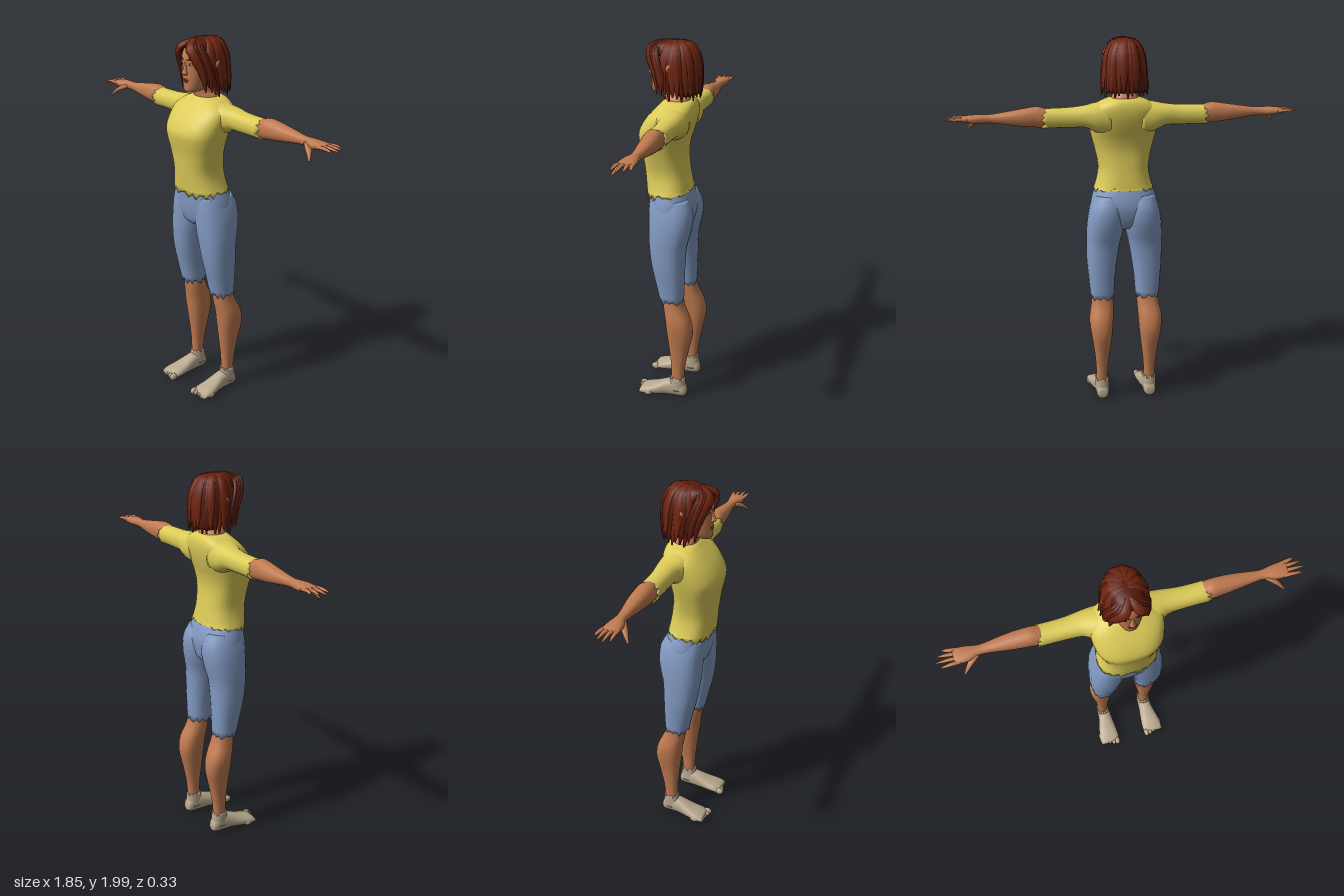
import * as THREE from 'three';

const mat = (name, color) => {
  const m = new THREE.MeshStandardMaterial({ color });
  m.name = name;
  return m;
};

// Closed skin over a list of equal rings; caps both ends and turns faces outward.
function skin(rings) {
  const n = rings[0].length, pos = [], idx = [];
  rings.forEach(r => r.forEach(v => pos.push(v.x, v.y, v.z)));
  for (let k = 0; k < rings.length - 1; k++)
    for (let i = 0; i < n; i++) {
      const a = k * n + i, b = k * n + (i + 1) % n;
      idx.push(a, b, a + n, b, b + n, a + n);
    }
  [0, rings.length - 1].forEach((k, end) => {
    const c = new THREE.Vector3();
    rings[k].forEach(v => c.addScaledVector(v, 1 / n));
    const id = pos.length / 3;
    pos.push(c.x, c.y, c.z);
    for (let i = 0; i < n; i++) {
      const a = k * n + i, b = k * n + (i + 1) % n;
      end ? idx.push(a, b, id) : idx.push(b, a, id);
    }
  });
  const P = i => new THREE.Vector3().fromArray(pos, i * 3);
  let vol = 0;
  for (let i = 0; i < idx.length; i += 3) vol += P(idx[i]).dot(P(idx[i + 1]).cross(P(idx[i + 2])));
  if (vol < 0) idx.reverse();
  const g = new THREE.BufferGeometry();
  g.setAttribute('position', new THREE.Float32BufferAttribute(pos, 3));
  g.setIndex(idx);
  g.computeVertexNormals();
  return g;
}

// Smooth interpolation between four section values.
const cubic = (a, b, c, d, t) =>
  b + 0.5 * t * (c - a + t * (2 * a - 5 * b + 4 * c - d + t * (3 * (b - c) + d - a)));

// Loft along one axis; each key is [t, aMin, aMax, bMin, bMax]. hem() shifts the first ring.
function loft(keys, map, { n = 24, p = 2.3, steps = 3, hem } = {}) {
  const rings = [], last = keys.length - 1;
  const at = k => keys[THREE.MathUtils.clamp(k, 0, last)];
  for (let s = 0; s <= last * steps; s++) {
    const k = Math.min(Math.floor(s / steps), last - 1), f = s / steps - k;
    const [t, a0, a1, b0, b1] = at(k).map((v, j) => cubic(at(k - 1)[j], v, at(k + 1)[j], at(k + 2)[j], f));
    rings.push(Array.from({ length: n }, (_, i) => {
      const th = i / n * Math.PI * 2, c = Math.cos(th), d = Math.sin(th);
      const bend = v => Math.sign(v) * Math.abs(v) ** (2 / p);
      const shift = hem && s === 0 ? hem(i, d) : 0;
      return map(t + shift, (a0 + a1) / 2 + (a1 - a0) / 2 * bend(c), (b0 + b1) / 2 + (b1 - b0) / 2 * bend(d));
    }));
  }
  return skin(rings);
}
const V = (x, y, z) => new THREE.Vector3(x, y, z);
const alongY = s => (t, a, b) => V(s * a, t, b);
const alongX = s => (t, a, b) => V(s * t, a, b);
const alongZ = s => (t, a, b) => V(s * a, b, t);
const torn = size => i => size * Math.sin(i * 2.6 + Math.sin(i * 5.1));

// Tapered oval sweep through points; out(p) gives the direction of its thin side.
function sweep(points, widths, flat, out, n = 8, m = 10) {
  const curve = new THREE.CatmullRomCurve3(points), rings = [];
  for (let k = 0; k <= m; k++) {
    const u = k / m, q = curve.getPoint(u), tan = curve.getTangent(u);
    const side = tan.clone().cross(out(q)).normalize(), up = side.clone().cross(tan);
    const f = u * (widths.length - 1), j = Math.min(Math.floor(f), widths.length - 2);
    const w = THREE.MathUtils.lerp(widths[j], widths[j + 1], f - j);
    rings.push(Array.from({ length: n }, (_, i) => {
      const a = i / n * Math.PI * 2;
      return q.clone().addScaledVector(side, w * Math.cos(a)).addScaledVector(up, w * flat * Math.sin(a));
    }));
  }
  return skin(rings);
}

export function createModel() {
  const root = new THREE.Group();
  root.name = 'woman';
  const skinM = mat('skin', 0xc07a50), shirtM = mat('yellow shirt', 0xdccb58), pantsM = mat('blue cloth', 0x829ac2),
    footM = mat('pale footwear', 0xb8a88e), hairM = mat('red hair', 0x6e2410), darkHairM = mat('dark red hair', 0x541809),
    lipM = mat('lips', 0x914a38), whiteM = mat('eye white', 0xd8cdbf), irisM = mat('iris', 0x2a1810);
  const add = (name, geo, m) => {
    const mesh = new THREE.Mesh(geo, m);
    mesh.name = name;
    root.add(mesh);
    return mesh;
  };
  const ball = (name, m, [x, y, z], [sx, sy, sz]) => {
    const b = add(name, new THREE.SphereGeometry(1, 14, 10), m);
    b.position.set(x, y, z);
    b.scale.set(sx, sy, sz);
    return b;
  };

  // Shirt body with a torn hem that dips in front
  add('shirtBody', loft([
    [1.19, -.162, .162, -.112, .12], [1.24, -.145, .145, -.104, .127], [1.31, -.134, .134, -.093, .135],
    [1.4, -.15, .15, -.084, .146], [1.47, -.168, .168, -.094, .161], [1.52, -.178, .178, -.11, .163],
    [1.58, -.185, .185, -.126, .132], [1.63, -.18, .18, -.131, .09], [1.665, -.135, .135, -.125, .055],
    [1.685, -.085, .085, -.11, .035], [1.69, -.05, .05, -.08, .02]
  ], alongY(1), { n: 40, p: 2.5, hem: (i, d) => -.016 * d + torn(.014)(i) }), shirtM);

  // Hips
  add('hips', loft([
    [.985, -.06, .06, -.085, .05], [1.01, -.13, .13, -.112, .08], [1.06, -.182, .182, -.126, .096],
    [1.11, -.181, .181, -.131, .103], [1.16, -.171, .171, -.122, .107], [1.215, -.151, .151, -.102, .112]
  ], alongY(1), { n: 32 }), pantsM);

  // Neck and head
  add('neck', loft([
    [1.65, -.085, .085, -.11, .025], [1.695, -.066, .066, -.095, .03], [1.72, -.05, .05, -.08, .035], [1.79, -.048, .048, -.075, .045]
  ], alongY(1)), skinM);
  add('head', loft([
    [1.718, -.022, .022, .045, .095], [1.73, -.04, .04, 0, .105], [1.76, -.057, .057, -.05, .106],
    [1.8, -.068, .068, -.08, .107], [1.85, -.075, .075, -.1, .107], [1.9, -.076, .076, -.11, .109],
    [1.95, -.058, .058, -.1, .09], [1.975, -.03, .03, -.06, .05]
  ], alongY(1), { p: 2.4 }), skinM);
  add('nose', loft([
    [1.808, -.012, .012, .09, .112], [1.818, -.017, .017, .09, .127], [1.84, -.01, .01, .09, .119], [1.875, -.008, .008, .09, .11]
  ], alongY(1), { n: 12, p: 2 }), skinM);
  ball('upperLip', lipM, [0, 1.785, .104], [.023, .005, .008]);
  ball('lowerLip', lipM, [0, 1.776, .104], [.018, .005, .008]);

  for (const s of [1, -1]) {
    const side = s > 0 ? 'left' : 'right';
    // Face details
    ball(side + 'Eye', whiteM, [s * .033, 1.865, .0985], [.014, .006, .006]);
    ball(side + 'Iris', irisM, [s * .033, 1.866, .102], [.006, .006, .005]);
    add(side + 'Brow', sweep([V(s * .012, 1.884, .107), V(s * .036, 1.894, .102), V(s * .056, 1.886, .087)],
      [.003, .005, .002], .8, () => V(0, 0, 1)), darkHairM);
    const ear = ball(side + 'Ear', skinM, [s * .1, 1.855, -.01], [.012, .034, .018]);
    ear.rotation.set(-.4, 0, -s * .25);

    // Sleeve and bare arm
    add(side + 'Sleeve', loft([
      [.425, 1.54, 1.642, -.106, .002], [.36, 1.542, 1.642, -.104, .002], [.28, 1.541, 1.645, -.106, .004],
      [.21, 1.54, 1.653, -.114, .012], [.15, 1.51, 1.664, -.122, .045], [.08, 1.5, 1.676, -.12, .05]
    ], alongX(s), { hem: torn(.013) }), shirtM);
    add(side + 'Arm', loft([
      [.37, 1.552, 1.632, -.095, -.008], [.42, 1.546, 1.645, -.1, -.005], [.46, 1.548, 1.654, -.1, -.006],
      [.53, 1.555, 1.645, -.1, -.012], [.6, 1.565, 1.634, -.094, -.02], [.68, 1.576, 1.622, -.083, -.03],
      [.72, 1.577, 1.62, -.082, -.03], [.77, 1.576, 1.62, -.092, -.014], [.82, 1.586, 1.615, -.096, -.01],
      [.84, 1.592, 1.61, -.09, -.018]
    ], alongX(s), { n: 20 }), skinM);
    // Fingers and thumb
    [[.885, -.1], [.912, -.074], [.925, -.044], [.908, -.014]].forEach(([x, z], i) =>
      add(side + 'Finger' + (i + 1), sweep([V(s * .81, 1.6, -.085 + i * .0215), V(s * .86, 1.604, (z - .085 + i * .0215) / 2),
        V(s * x, 1.598, z)], [.012, .011, .009, .004], .8, () => V(0, 1, 0)), skinM));
    add(side + 'Thumb', sweep([V(s * .73, 1.597, -.04), V(s * .775, 1.572, -.006), V(s * .808, 1.538, .022)],
      [.018, .017, .011, .005], .8, () => V(0, 1, 0)), skinM);

    // Cropped trouser leg and calf
    add(side + 'TrouserLeg', loft([
      [.595, .06, .188, -.104, .024], [.7, .053, .197, -.107, .048], [.8, .04, .205, -.109, .071],
      [.9, .023, .206, -.114, .085], [.97, .006, .204, -.13, .091], [1.04, -.002, .197, -.142, .094],
      [1.11, .005, .182, -.138, .095], [1.17, .02, .16, -.11, .09]
    ], alongY(s), { hem: torn(.013) }), pantsM);
    add(side + 'Calf', loft([
      [.06, .103, .163, -.112, -.045], [.12, .103, .164, -.112, -.042], [.2, .1, .167, -.12, -.039],
      [.3, .088, .178, -.14, -.028], [.4, .076, .194, -.16, -.016], [.48, .07, .2, -.148, -.008],
      [.56, .066, .186, -.112, .005], [.64, .068, .18, -.095, .01]
    ], alongY(s)), skinM);

    // Footwear: foot, torn ankle cuff and toes
    add(side + 'Foot', loft([
      [-.127, .112, .155, .015, .055], [-.11, .1, .166, .002, .085], [-.06, .094, .17, 0, .105],
      [-.01, .09, .176, 0, .092], [.05, .083, .192, 0, .066], [.1, .08, .2, 0, .05], [.135, .086, .196, .002, .035]
    ], alongZ(s)), footM);
    add(side + 'Cuff', loft([
      [.115, .098, .169, -.117, -.036], [.085, .096, .17, -.12, -.03], [.04, .094, .17, -.122, -.02]
    ], alongY(s), { hem: torn(.012) }), footM);
    for (let i = 0; i < 5; i++)
      ball(side + 'Toe' + (i + 1), footM, [s * (.096 + i * .0235), .02, .133 - i * i * .003],
        i ? [.012, .017, .024] : [.016, .02, .025]);

    // Parted fringe sweeping down beside the face
    for (let i = 0; i < 4; i++) {
      const d = i * .014;
      add(side + 'Fringe' + (i + 1), sweep([
        V(s * .004, 1.984 - i * .003, .05 - d * 1.6), V(s * (.035 + d * .5), 1.955 - i * .002, .108 - d),
        V(s * (.07 + d * .4), 1.905, .1 - d), V(s * (.088 + d * .4), 1.82, .066 - d), V(s * (.096 + d * .5), 1.725 + (i % 2) * .025, .05 - d)
      ], [.014, .026, .025, .02, .003], .5, q => V(q.x, (q.y - 1.85) * .8, q.z + .02).normalize()), i % 2 ? darkHairM : hairM);
    }
  }

  // Hair mass
  add('hairMass', loft([
    [1.725, -.098, .098, -.145, -.035], [1.8, -.1, .1, -.147, -.03], [1.87, -.096, .096, -.143, .015],
    [1.92, -.09, .09, -.136, .08], [1.96, -.073, .073, -.115, .1], [1.982, -.048, .048, -.08, .07],
    [1.99, -.015, .015, -.04, .03]
  ], alongY(1)), darkHairM);

  // Loose locks around the sides and back
  const locks = 21;
  for (let i = 0; i < locks; i++) {
    const a = THREE.MathUtils.degToRad(72 + 216 * i / (locks - 1)), sx = Math.sin(a), cz = Math.cos(a);
    const wob = Math.sin(i * 4.3), lift = 1 + .03 * wob;
    const at = (rx, rz, y, c) => V(sx * rx * lift, y, c + cz * rz * lift);
    add('hairLock' + (i + 1), sweep([
      at(.012, .03, 1.986, -.01), at(.062, .085, 1.967, -.02), at(.094, .12, 1.9, -.02),
      at(.106, .126, 1.81, -.025), at(.122, .118, 1.712 + .014 * wob, -.035)
    ], [.012, .023, .026, .023, .004], .55, q => V(q.x, (q.y - 1.85) * .8, q.z + .02).normalize()), i % 3 === 1 ? darkHairM : hairM);
  }
  return root;
}
